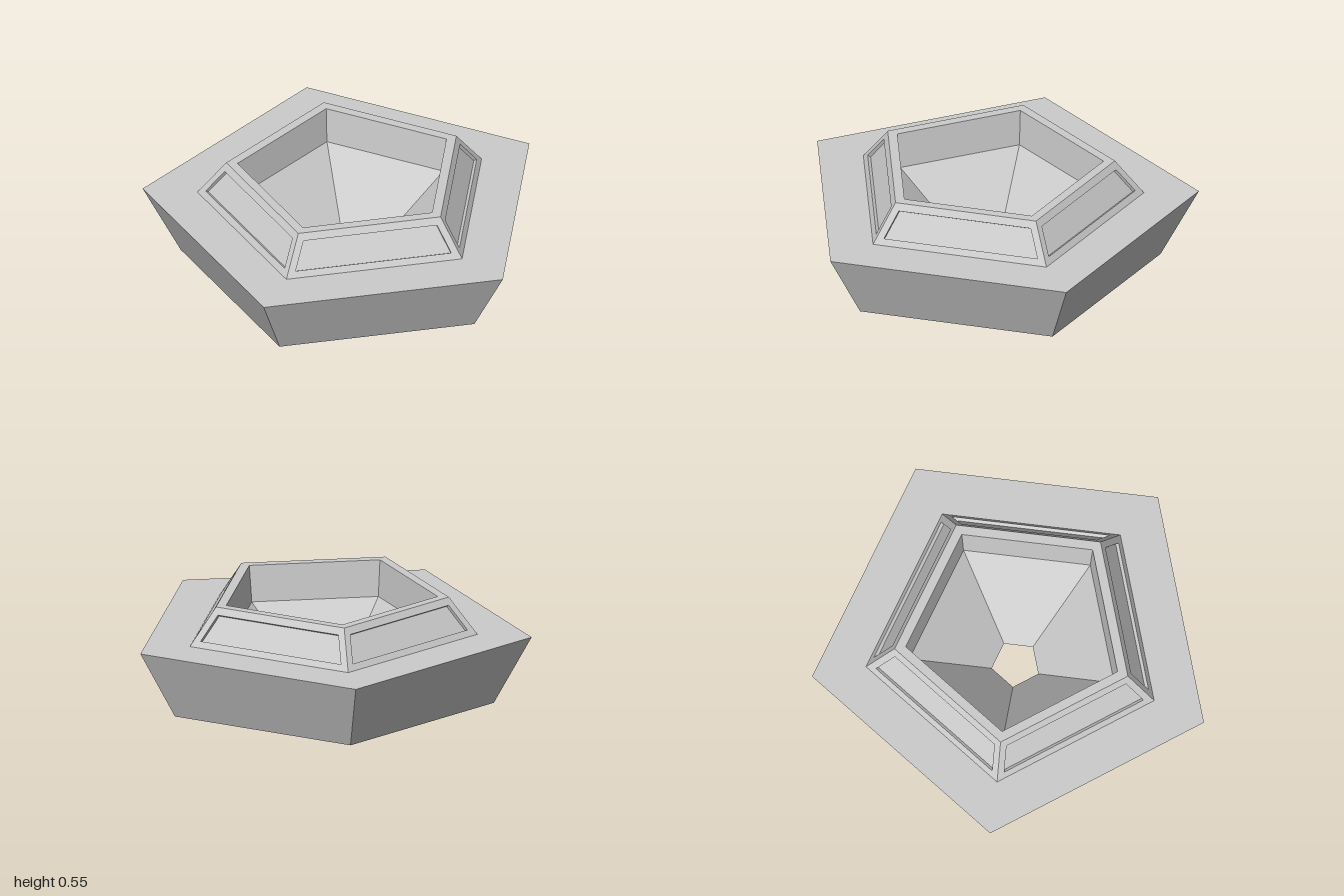
import * as THREE from 'three';

const SIDES = 5;
const CENTRE_X = -0.1; // keeps the pentagon's bounding box centred

const mat = new THREE.MeshStandardMaterial({ color: 0xcccccc, flatShading: true });

// Corner i of a pentagon with circumradius r at height y
function corner(r, y, i) {
  const a = (i * 2 * Math.PI) / SIDES;
  return new THREE.Vector3(CENTRE_X + r * Math.cos(a), y, r * Math.sin(a));
}

function meshFromQuads(name, quads) {
  const pos = [];
  for (const [a, b, c, d] of quads)
    for (const p of [a, b, c, a, c, d]) pos.push(p.x, p.y, p.z);
  const geo = new THREE.BufferGeometry();
  geo.setAttribute('position', new THREE.Float32BufferAttribute(pos, 3));
  geo.computeVertexNormals();
  const mesh = new THREE.Mesh(geo, mat);
  mesh.name = name;
  return mesh;
}

// Sweep a [radius, height] profile round the pentagon
function pentagonShell(name, profile) {
  const quads = [];
  for (let k = 0; k < profile.length - 1; k++) {
    const [r0, y0] = profile[k], [r1, y1] = profile[k + 1];
    for (let i = 0; i < SIDES; i++)
      quads.push([corner(r0, y0, i + 1), corner(r0, y0, i), corner(r1, y1, i), corner(r1, y1, i + 1)]);
  }
  return meshFromQuads(name, quads);
}

// Sloping collar face: a frame, the reveals and a sunken panel
function collarFace(i, rBase, yBase, rTop, yTop) {
  const margin = 0.038, depth = 0.018;
  const outer = [corner(rBase, yBase, i + 1), corner(rBase, yBase, i), corner(rTop, yTop, i), corner(rTop, yTop, i + 1)];
  const along = outer[1].clone().sub(outer[0]).normalize();
  const up = outer[3].clone().sub(outer[0]);
  const normal = along.clone().cross(up).normalize();
  const at = (low, high, t, shift) => low.clone().lerp(high, t).addScaledVector(along, shift);
  const inner = [
    at(outer[0], outer[3], 0.16, margin), at(outer[1], outer[2], 0.16, -margin),
    at(outer[1], outer[2], 0.82, -margin), at(outer[0], outer[3], 0.82, margin),
  ];
  const sunk = inner.map((p) => p.clone().addScaledVector(normal, -depth));
  const frame = [], reveal = [];
  for (let k = 0; k < 4; k++) {
    const n = (k + 1) % 4;
    frame.push([outer[k], outer[n], inner[n], inner[k]]);
    reveal.push([inner[k], inner[n], sunk[n], sunk[k]]);
  }
  const group = new THREE.Group();
  group.name = 'collarFace' + (i + 1);
  group.add(meshFromQuads('frame', frame), meshFromQuads('reveal', reveal), meshFromQuads('panel', [sunk]));
  return group;
}

export function createModel() {
  const model = new THREE.Group();
  model.name = 'pentagonalBasin';

  // Flared body: underside with drain hole, outer walls, flat shoulder
  model.add(pentagonShell('body', [[0.125, 0], [0.857, 0], [1.0515, 0.36], [0.773, 0.36]]));

  // Raised collar with a recessed panel on each side
  const collar = new THREE.Group();
  collar.name = 'collar';
  for (let i = 0; i < SIDES; i++) collar.add(collarFace(i, 0.773, 0.36, 0.626, 0.55));
  collar.add(pentagonShell('rim', [[0.626, 0.55], [0.568, 0.55]]));
  model.add(collar);

  // Inside: steep wall, then a funnel down to the drain hole
  model.add(pentagonShell('innerWall', [[0.568, 0.55], [0.55, 0.36]]));
  model.add(pentagonShell('funnel', [[0.55, 0.36], [0.125, 0]]));

  return model;
}
